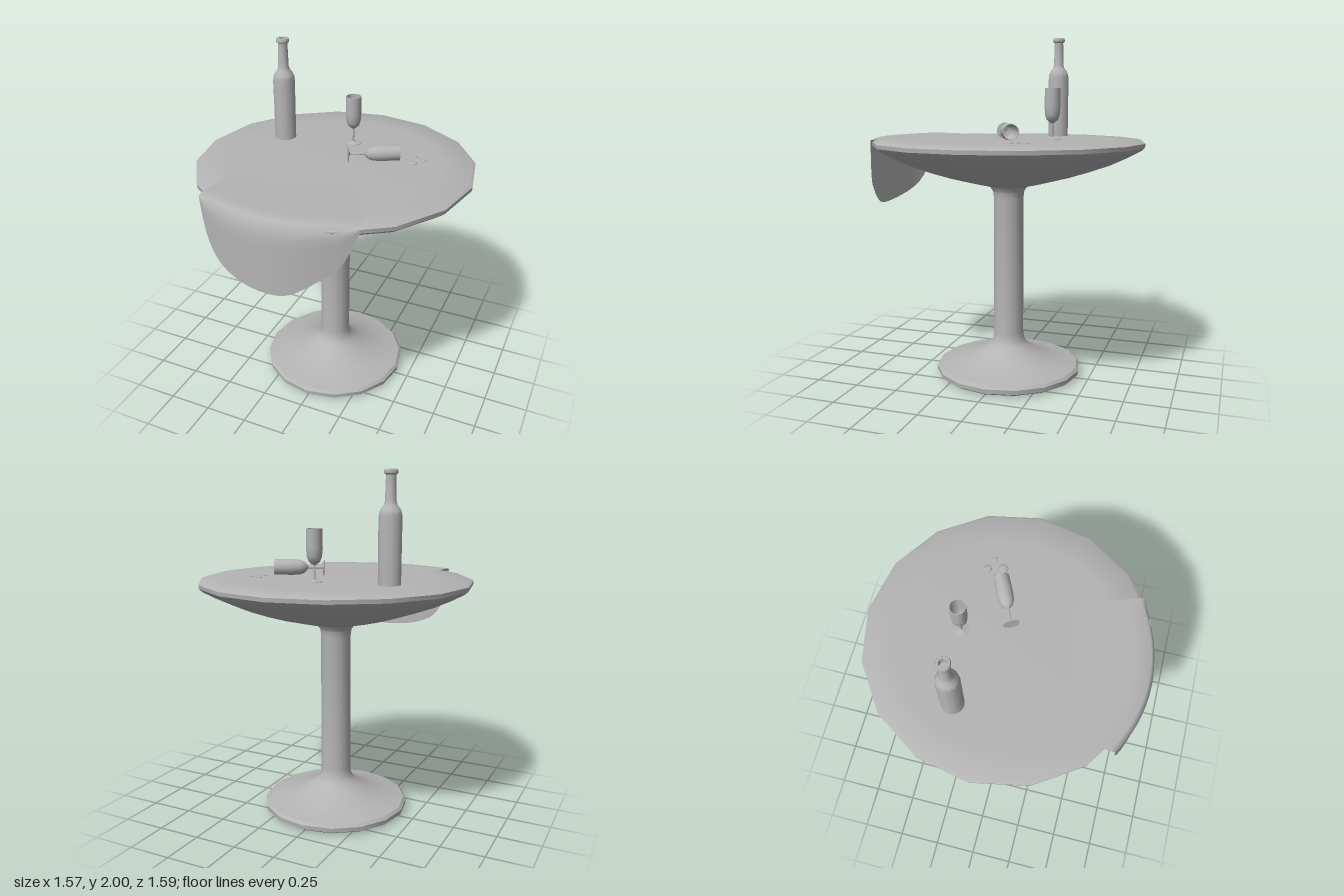
import * as THREE from 'three';
import { toCreasedNormals } from 'three/addons/utils/BufferGeometryUtils.js';

const grey = new THREE.MeshStandardMaterial({ color: 0xb4b4b4 });
grey.name = 'plain grey';
const greyCloth = grey.clone();
greyCloth.name = 'plain grey cloth';
greyCloth.side = THREE.DoubleSide;

// Turned part from a profile of [radius, height] pairs
function turned(name, profile, sides, crease = 0.6) {
  const points = profile.map(([r, y]) => new THREE.Vector2(r, y));
  const mesh = new THREE.Mesh(toCreasedNormals(new THREE.LatheGeometry(points, sides), crease), grey);
  mesh.name = name;
  return mesh;
}

// Goblet standing on its own origin: foot, stem and hollow bowl
function goblet(name) {
  return turned(name, [
    [0, 0], [0.046, 0], [0.046, 0.003], [0.012, 0.008], [0.006, 0.014], [0.006, 0.092],
    [0.016, 0.098], [0.032, 0.112], [0.042, 0.138], [0.046, 0.185], [0.044, 0.288],
    [0.041, 0.288], [0.042, 0.185], [0.038, 0.14], [0.027, 0.116], [0, 0.104],
  ], 14, 0.7);
}

// Cloth lying on the table and hanging over its front edge
function cloth() {
  // Hem as [x, y], from one side to the other
  const hem = new THREE.CatmullRomCurve3([
    [-0.46, 1.37], [-0.44, 1.27], [-0.4, 1.16], [-0.33, 1.08], [-0.2, 1.025], [-0.03, 1.0],
    [0.08, 1.01], [0.17, 1.06], [0.25, 1.12], [0.31, 1.16], [0.37, 1.25], [0.42, 1.38],
  ].map(([x, y]) => new THREE.Vector3(x, y, 0)));
  const columns = 28, topRows = 5, dropRows = 7, rows = topRows + dropRows;
  const positions = [], index = [];
  for (let i = 0; i <= columns; i++) {
    const t = i / columns;
    const h = hem.getPoint(t);
    const front = 0.795 - 0.67 * (h.x + 0.03) ** 2;
    const backX = THREE.MathUtils.lerp(-0.43, 0.28, t);
    const backZ = THREE.MathUtils.lerp(0.42, 0.27, t);
    for (let j = 0; j <= rows; j++) {
      if (j <= topRows) {
        const s = j / topRows;
        positions.push(THREE.MathUtils.lerp(backX, h.x, s), 1.409 + 0.003 * s,
          THREE.MathUtils.lerp(backZ, front - 0.03, s));
      } else {
        const s = (j - topRows) / dropRows;
        const roll = 0.03 * Math.max(0, 1 - s * 5);
        positions.push(h.x, THREE.MathUtils.lerp(1.412, h.y, s ** 1.2), front - roll);
      }
      if (i < columns && j < rows) {
        const a = i * (rows + 1) + j, b = a + rows + 1;
        index.push(a, a + 1, b, b, a + 1, b + 1);
      }
    }
  }
  const geometry = new THREE.BufferGeometry();
  geometry.setAttribute('position', new THREE.Float32BufferAttribute(positions, 3));
  geometry.setIndex(index);
  geometry.computeVertexNormals();
  const mesh = new THREE.Mesh(geometry, greyCloth);
  mesh.name = 'cloth';
  return mesh;
}

export function createModel() {
  const model = new THREE.Group();
  model.name = 'pedestalTable';

  // Table: base and column, then the dished top
  const pedestal = turned('pedestal', [
    [0, 0], [0.41, 0.008], [0.428, 0.02], [0.43, 0.045], [0.415, 0.06], [0.33, 0.075],
    [0.24, 0.102], [0.165, 0.14], [0.115, 0.175], [0.094, 0.205], [0.088, 0.25],
    [0.087, 1.06], [0.092, 1.1], [0.112, 1.128],
  ], 16);
  const top = turned('tableTop', [
    [0.112, 1.128], [0.23, 1.155], [0.36, 1.188], [0.48, 1.225], [0.6, 1.268], [0.7, 1.315],
    [0.765, 1.35], [0.785, 1.368], [0.787, 1.39], [0.77, 1.4], [0.6, 1.405], [0, 1.406],
  ], 16);
  pedestal.position.z = top.position.z = -0.01;
  model.add(pedestal, top, cloth());

  // Bottle
  const bottle = turned('bottle', [
    [0, 1.403], [0.062, 1.403], [0.063, 1.75], [0.06, 1.782], [0.05, 1.803], [0.036, 1.82],
    [0.03, 1.84], [0.027, 1.972], [0.036, 1.978], [0.038, 1.99], [0.034, 2],
    [0.022, 2], [0.02, 1.96], [0, 1.96],
  ], 12);
  bottle.position.set(-0.41, 0, -0.2);
  model.add(bottle);

  // Standing goblet and fallen goblet
  const standing = goblet('standingGoblet');
  standing.position.set(0, 1.405, -0.27);
  const fallen = goblet('fallenGoblet');
  const foot = new THREE.Vector3(0.075, 1.455, -0.01);
  const rim = new THREE.Vector3(0.34, 1.459, -0.135);
  fallen.position.copy(foot);
  fallen.quaternion.setFromUnitVectors(new THREE.Vector3(0, 1, 0), rim.sub(foot).normalize());
  model.add(standing, fallen);

  // Spilled drops by the fallen rim
  for (const [x, z, r] of [[0.39, -0.225, 0.023], [0.455, -0.2, 0.018], [0.41, -0.14, 0.028], [0.355, -0.17, 0.013]]) {
    const drop = new THREE.Mesh(new THREE.SphereGeometry(r, 10, 6), grey);
    drop.name = 'spilledDrop';
    drop.scale.y = 0.2;
    drop.position.set(x, 1.406, z);
    model.add(drop);
  }
  return model;
}
